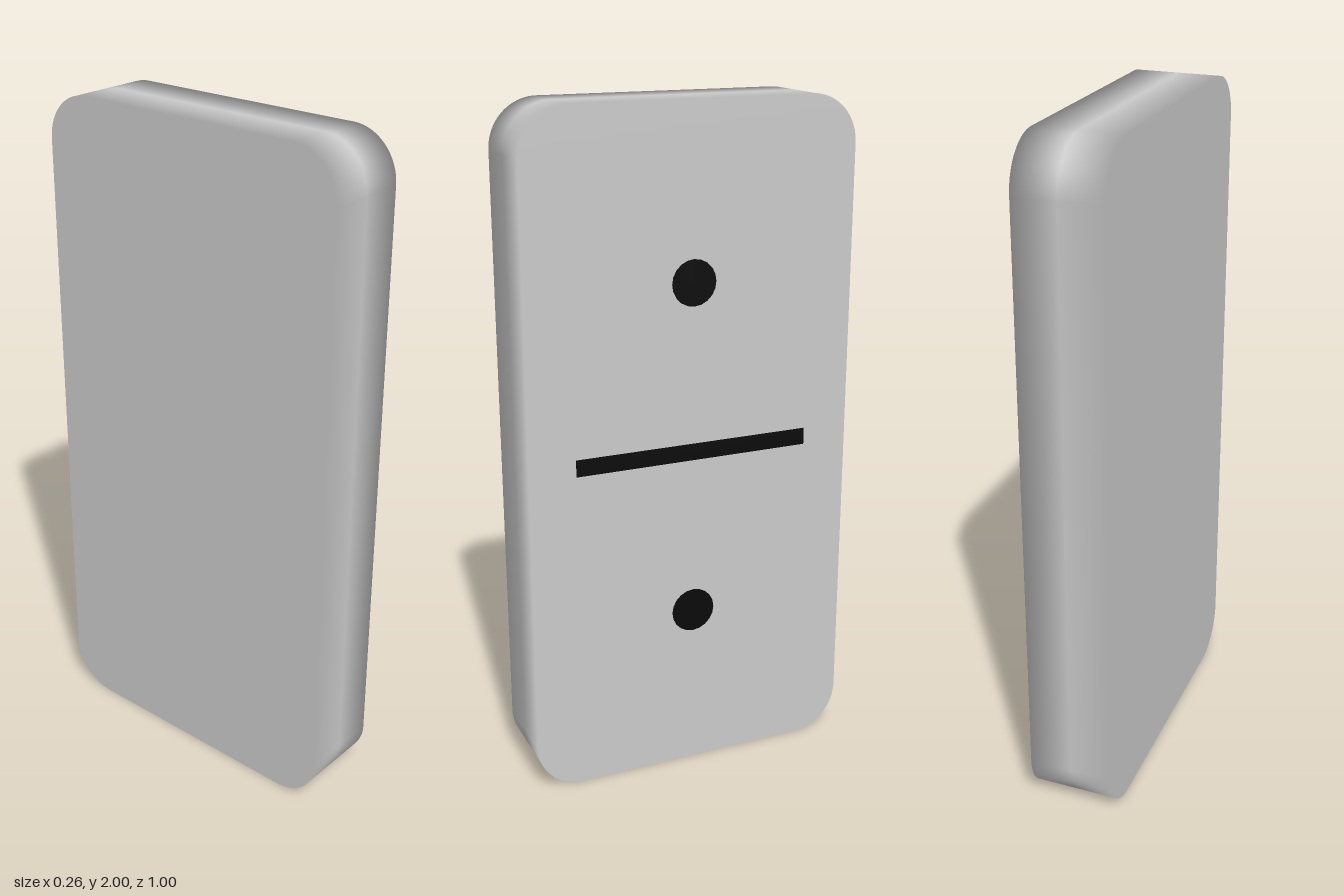
import * as THREE from 'three';

const HALF = 0.127;   // half thickness along x
const R = 0.14;       // corner radius

// Rounded slab standing upright, faces toward +x and -x
function slabGeometry() {
  const w = 0.5, i = w - R;
  const s = new THREE.Shape();
  s.absarc(i, R, R, -Math.PI / 2, 0);
  s.absarc(i, 2 - R, R, 0, Math.PI / 2);
  s.absarc(-i, 2 - R, R, Math.PI / 2, Math.PI);
  s.absarc(-i, R, R, Math.PI, Math.PI * 1.5);
  s.closePath();
  const g = new THREE.ExtrudeGeometry(s, { depth: 2 * HALF, steps: 2, bevelEnabled: false, curveSegments: 12 });
  g.translate(0, 0, -HALF);
  g.rotateY(Math.PI / 2);

  // Soft shading: normals roll from one face, over the middle of the rim, to the other
  const p = g.attributes.position, n = new THREE.Vector3();
  for (let k = 0; k < p.count; k++) {
    const x = p.getX(k), y = p.getY(k), z = p.getZ(k);
    if (Math.abs(x) > HALF / 2) n.set(Math.sign(x), 0, 0);
    else n.set(0, y - THREE.MathUtils.clamp(y, R, 2 - R), z - THREE.MathUtils.clamp(z, -i, i)).normalize();
    g.attributes.normal.setXYZ(k, n.x, n.y, n.z);
  }
  return g;
}

export function createModel() {
  const group = new THREE.Group();
  group.name = 'domino';
  const black = new THREE.MeshStandardMaterial({ color: 0x0a0a0a });
  const add = (name, geometry, material, x, y) => {
    const mesh = new THREE.Mesh(geometry, material);
    mesh.name = name;
    mesh.position.set(x, y, 0);
    group.add(mesh);
  };

  add('tile', slabGeometry(), new THREE.MeshStandardMaterial({ color: 0xcccccc }), 0, 0);

  // Markings lie almost flush on the +x face
  const pip = new THREE.CylinderGeometry(0.067, 0.067, 0.004, 20).rotateZ(-Math.PI / 2);
  add('upperPip', pip, black, HALF, 1.5);
  add('lowerPip', pip, black, HALF, 0.5);
  add('dividerBar', new THREE.BoxGeometry(0.004, 0.05, 0.72), black, HALF, 1.003);

  return group;
}
